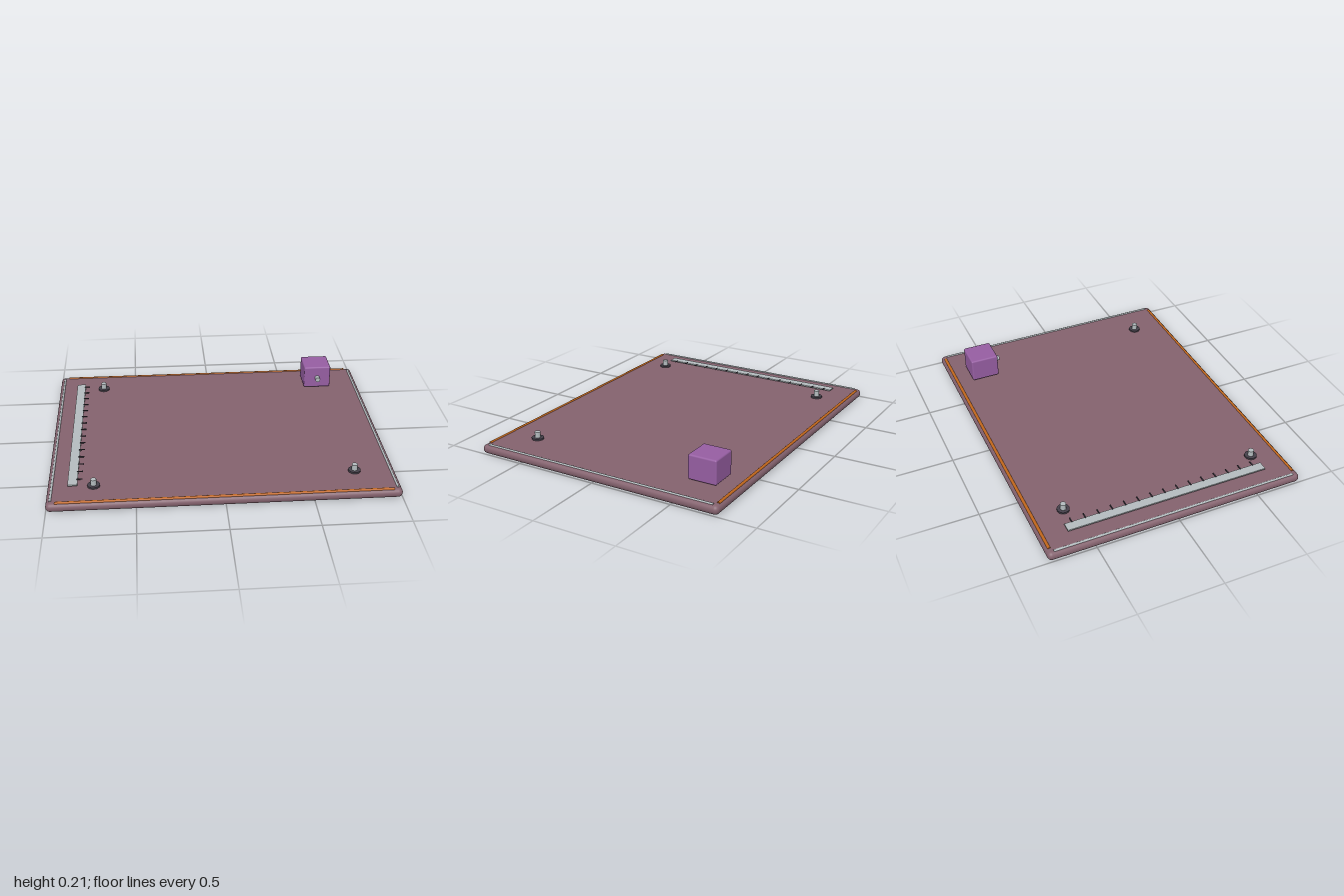
import * as THREE from 'three';
import { RoundedBoxGeometry } from 'three/addons/geometries/RoundedBoxGeometry.js';

const material = (name, color) => {
  const m = new THREE.MeshStandardMaterial({ color });
  m.name = name;
  return m;
};

export function createModel() {
  const mats = {
    board: material('mauve board', 0x84626e),
    orange: material('orange rail', 0xc0661c),
    metal: material('pale metal', 0xb4bcbf),
    dark: material('dark rubber', 0x45404a),
    purple: material('purple block', 0x965ea2),
  };
  const model = new THREE.Group();
  model.name = 'boardModel';

  const add = (name, geometry, mat, x, y, z, parent = model) => {
    const mesh = new THREE.Mesh(geometry, mat);
    mesh.name = name;
    mesh.position.set(x, y, z);
    parent.add(mesh);
    return mesh;
  };

  // Flat board with fully rounded rim
  add('board', new RoundedBoxGeometry(2, 0.054, 1.556, 5, 0.026), mats.board, 0, 0.027, 0);

  // Rails set into the four edges
  for (const s of [-1, 1]) {
    const long = add('longRail', new THREE.CylinderGeometry(0.009, 0.009, 1.9, 12), mats.orange, 0, 0.051, s * 0.755);
    long.rotation.z = Math.PI / 2;
    const short = add('shortRail', new THREE.CylinderGeometry(0.007, 0.007, 1.48, 12), mats.metal, s * 0.975, 0.053, 0);
    short.rotation.x = Math.PI / 2;
  }

  // Ruler with a row of tick marks
  const ruler = new THREE.Group();
  ruler.name = 'ruler';
  model.add(ruler);
  add('rulerStrip', new THREE.BoxGeometry(0.055, 0.008, 1.23), mats.metal, -0.857, 0.068, -0.005, ruler);
  const tick = new THREE.BoxGeometry(0.034, 0.005, 0.006);
  for (let i = 0; i < 15; i++) {
    add('rulerTick', tick, mats.dark, -0.818, 0.0745, -0.577 + i * 0.0809, ruler);
  }

  // Pins standing on dark washers
  const washer = new THREE.CylinderGeometry(0.036, 0.036, 0.011, 24);
  const pin = new THREE.CylinderGeometry(0.017, 0.017, 0.04, 16);
  for (const [x, z] of [[-0.708, -0.577], [-0.738, 0.6], [0.762, 0.555]]) {
    const peg = new THREE.Group();
    peg.name = 'peg';
    peg.position.set(x, 0, z);
    model.add(peg);
    add('pegWasher', washer, mats.dark, 0, 0.0585, 0, peg);
    add('pegPin', pin, mats.metal, 0, 0.079, 0, peg);
  }

  // Block with a small front stud
  add('block', new RoundedBoxGeometry(0.174, 0.146, 0.174, 3, 0.01), mats.purple, 0.717, 0.135, -0.575);
  const stud = add('blockStud', new THREE.CylinderGeometry(0.016, 0.016, 0.04, 12), mats.metal, 0.717, 0.131, -0.475);
  stud.rotation.x = Math.PI / 2;

  return model;
}
